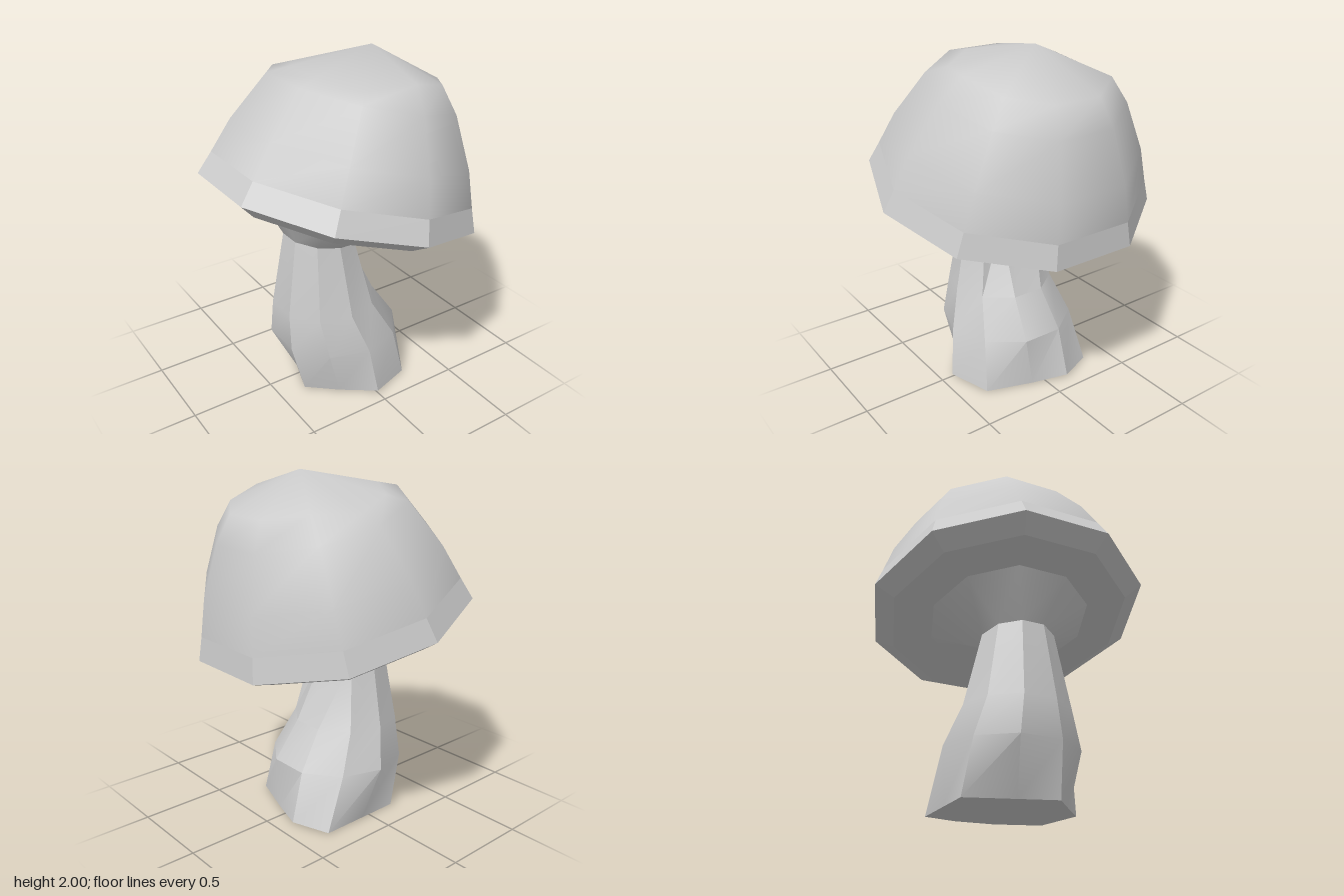
import * as THREE from 'three';
import { mergeVertices, toCreasedNormals } from 'three/addons/utils/BufferGeometryUtils.js';

const SIDES = 10;
const TILT = 0.263; // the cap leans down towards +x

// Ten-sided ring around a centre; vertex 0 faces +z, going round towards +x.
function ring(radius, y, cx = 0) {
  return Array.from({ length: SIDES }, (_, k) => {
    const a = (k / SIDES) * Math.PI * 2;
    return new THREE.Vector3(cx + radius * Math.sin(a), y, radius * Math.cos(a));
  });
}

// Skin a stack of rings, listed from the bottom up. crease = 0 gives fully smooth normals.
function loft(rings, crease) {
  const positions = [];
  const tri = (a, b, c) => {
    if (a.distanceTo(b) < 1e-5 || b.distanceTo(c) < 1e-5 || c.distanceTo(a) < 1e-5) return;
    for (const p of [a, b, c]) positions.push(p.x, p.y, p.z);
  };
  for (let i = 0; i < rings.length - 1; i++) {
    for (let k = 0; k < SIDES; k++) {
      const n = (k + 1) % SIDES;
      tri(rings[i][k], rings[i][n], rings[i + 1][n]);
      tri(rings[i][k], rings[i + 1][n], rings[i + 1][k]);
    }
  }
  const geometry = new THREE.BufferGeometry();
  geometry.setAttribute('position', new THREE.Float32BufferAttribute(positions, 3));
  const merged = mergeVertices(geometry, 1e-4);
  merged.computeVertexNormals();
  return crease ? toCreasedNormals(merged, crease) : merged;
}

export function createModel() {
  const model = new THREE.Group();
  model.name = 'mushroom';
  const material = new THREE.MeshStandardMaterial({ color: 0xcccccc });
  const add = (parent, name, geometry) => {
    const mesh = new THREE.Mesh(geometry, material);
    mesh.name = name;
    parent.add(mesh);
  };

  // Tilted cap, modelled upright around its own axis
  const cap = new THREE.Group();
  cap.name = 'cap';
  cap.position.y = 1.18;
  cap.rotation.z = -TILT;
  model.add(cap);

  // Upper ring is full on the front and right, flattened elsewhere
  const shoulder = ring(0.43, 0.731);
  for (let k = 5; k < SIDES; k++) shoulder[k].y = 0.649;
  add(cap, 'capDome', loft([
    ring(0.76, 0.13), ring(0.69, 0.325), ring(0.545, 0.596), shoulder, ring(0, 0.848),
  ], 0));
  add(cap, 'capRim', loft([ring(0.81, 0), ring(0.76, 0.13)], 0.3));
  add(cap, 'capUnderside', loft([ring(0, -0.068), ring(0.70, -0.068), ring(0.81, 0)], 0.3));

  // Uneven foot of the stem
  const foot = [
    [0, 0.43], [0.25, 0.345], [0.34, 0.08], [0.41, -0.13], [0.32, -0.34],
    [0.06, -0.34], [-0.18, -0.34], [-0.27, -0.07], [-0.34, 0.14], [-0.18, 0.28],
  ].map(([x, z], k) => new THREE.Vector3(x, k === 3 || k === 0 ? 0.015 : 0.003, z));

  // Neck slopes with the cap and is cut flat on its +x side
  const neck = ring(0.215, 0.94, -0.13);
  for (const p of neck) {
    p.y -= 0.16 * (p.x + 0.13);
    if (p.x > 0.03) { p.x = 0; p.y = 0.91; }
  }

  // Flare that meets the underside of the cap
  const flare = ring(0.47, -0.07, -0.01);
  for (const p of flare) {
    p.applyAxisAngle(new THREE.Vector3(0, 0, 1), -TILT);
    p.y += 1.18;
  }

  add(model, 'stem', loft([
    ring(0, 0), foot, ring(0.39, 0.3, -0.04), ring(0.31, 0.52, -0.11), neck, flare,
  ], 0.55));

  return model;
}
